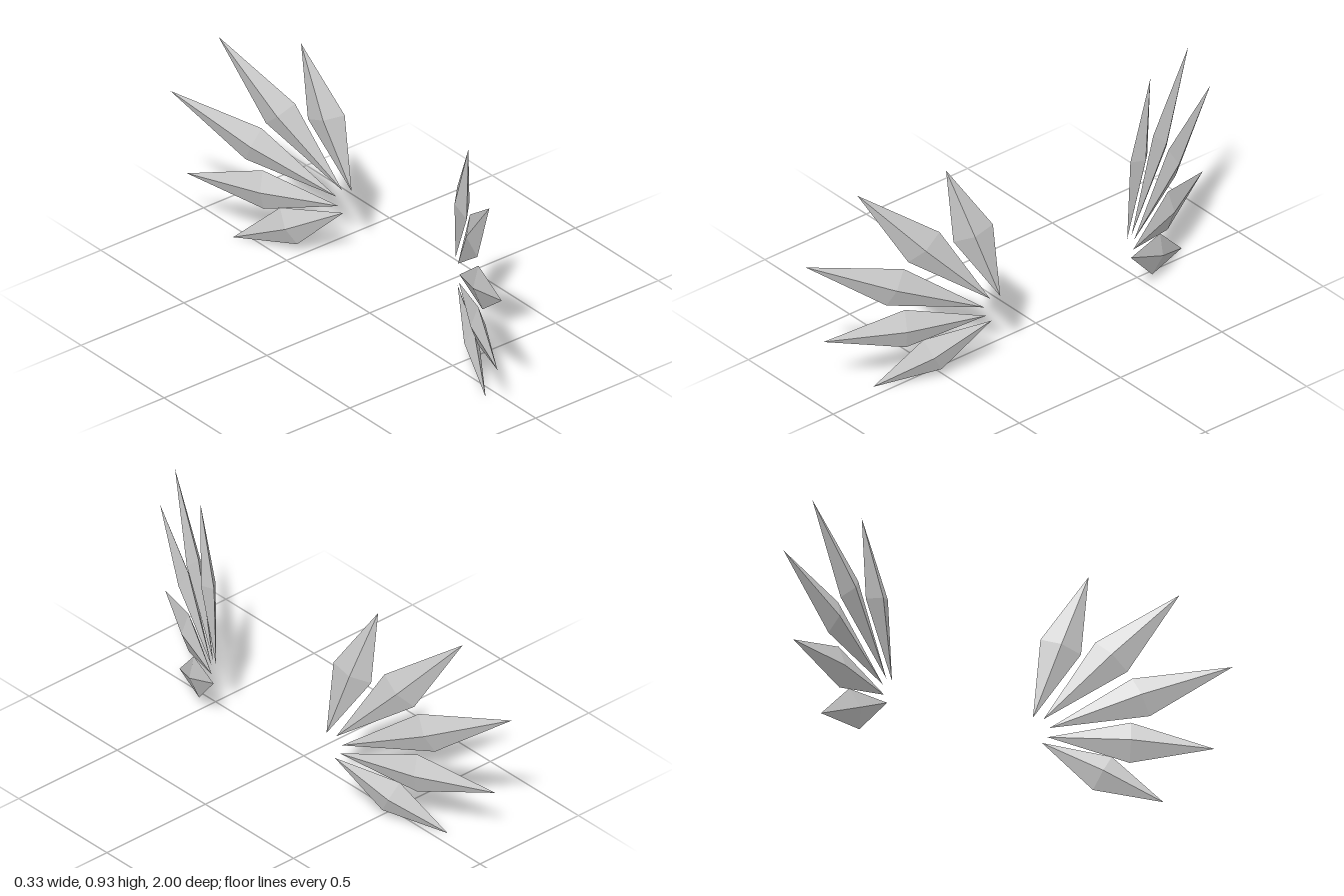
import * as THREE from 'three';
import { ConvexGeometry } from 'three/addons/geometries/ConvexGeometry.js';

// Each blade lies in the slanted wing plane, given as [z, y] points.
const BLADES = [
  { name: 'topBlade', base: [0.313, 0.331], tip: [0.504, 0.928], upper: [0.339, 0.658], lower: [0.478, 0.603] },
  { name: 'upperBlade', base: [0.349, 0.326], tip: [0.816, 0.869], upper: [0.527, 0.656], lower: [0.637, 0.54] },
  { name: 'middleBlade', base: [0.37, 0.291], tip: [0.998, 0.579], upper: [0.653, 0.512], lower: [0.714, 0.359] },
  { name: 'lowerBlade', base: [0.363, 0.252], tip: [0.936, 0.234], upper: [0.649, 0.328], lower: [0.645, 0.16] },
  { name: 'bottomBlade', base: [0.344, 0.227], tip: [0.761, 0.002], upper: [0.584, 0.182], lower: [0.519, 0.04] },
];
const SLOPE = 0.48; // sideways lean of the wing per unit of z
const HALF_THICKNESS = 0.029;

export function createModel() {
  const model = new THREE.Group();
  const crystal = new THREE.MeshStandardMaterial({ color: 0xcccccc, flatShading: true });
  crystal.name = 'pale grey crystal';

  const normal = new THREE.Vector3(1, 0, SLOPE).normalize();
  const onPlane = ([z, y]) => new THREE.Vector3(0.165 - (z - 0.313) * SLOPE, y, z);

  // Two fans of blades, mirrored front to back
  for (const side of [1, -1]) {
    const wing = new THREE.Group();
    wing.name = side > 0 ? 'frontWing' : 'backWing';
    for (const b of BLADES) {
      const [base, tip, upper, lower] = [b.base, b.tip, b.upper, b.lower].map(onPlane);
      // Raised ridge on both faces, midway between the side corners
      const mid = upper.clone().add(lower).multiplyScalar(0.5);
      const ridges = [1, -1].map((s) => mid.clone().addScaledVector(normal, s * HALF_THICKNESS));
      const points = [base, tip, upper, lower, ...ridges];
      points.forEach((p) => { p.z *= side; });
      const blade = new THREE.Mesh(new ConvexGeometry(points), crystal);
      blade.name = b.name;
      wing.add(blade);
    }
    model.add(wing);
  }
  return model;
}
